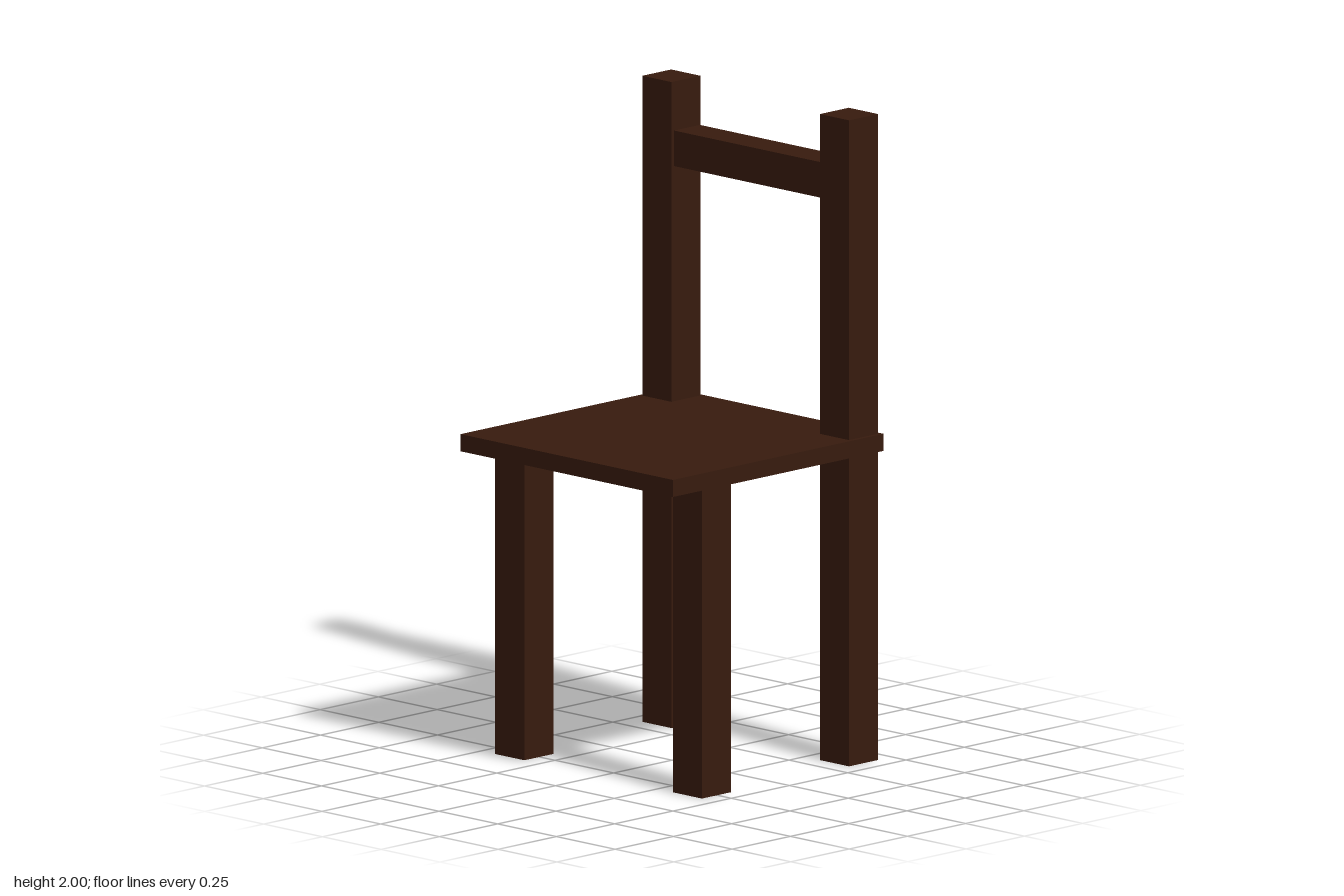
import * as THREE from 'three';

export function createModel() {
  const model = new THREE.Group();
  const wood = new THREE.MeshStandardMaterial({ color: 0x381b0e });

  // Box given by its size, its centre in x and z, and its underside height
  function addBox(name, [w, h, d], x, bottom, z) {
    const mesh = new THREE.Mesh(new THREE.BoxGeometry(w, h, d), wood);
    mesh.name = name;
    mesh.position.set(x, bottom + h / 2, z);
    model.add(mesh);
  }

  const post = 0.124; // square section of legs and posts
  const seatBottom = 0.957;
  const legZ = 0.378;

  // Seat board
  addBox('seat', [0.904, 0.053, 0.904], 0, seatBottom, 0);

  // Short legs under the seat, and tall posts that carry on up as the backrest
  for (const [side, z] of [['Near', legZ], ['Far', -legZ]]) {
    addBox(`shortLeg${side}`, [post, seatBottom, post], -0.253, 0, z);
    addBox(`backPost${side}`, [post, 2, post], 0.378, 0, z);
  }

  // Rail between the two back posts
  addBox('backRail', [0.111, 0.11, 2 * legZ - post], 0.383, 1.738, 0);

  return model;
}
